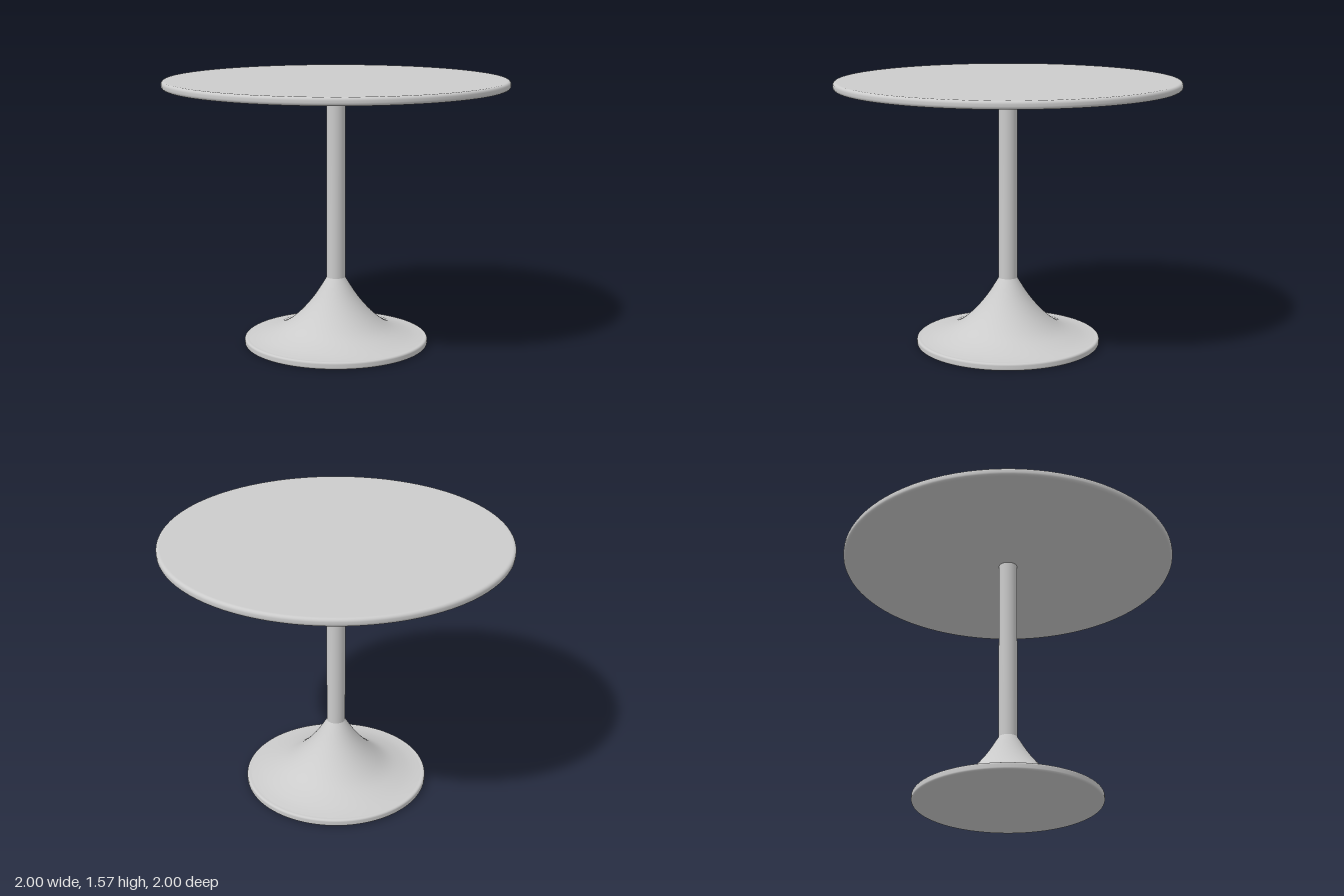
import * as THREE from 'three';

const SEGMENTS = 96;
const material = new THREE.MeshStandardMaterial({ color: 0xcccccc });

// Surface of revolution from [radius, height] pairs, listed bottom to top
function turned(name, profile) {
  const points = profile.map(([r, y]) => new THREE.Vector2(r, y));
  const mesh = new THREE.Mesh(new THREE.LatheGeometry(points, SEGMENTS), material);
  mesh.name = name;
  return mesh;
}

// Solid disc with rounded rims; the extra rings keep the flat faces evenly shaded
function roundedDisc(name, radius, bottom, top, fillet) {
  const steps = 5;
  const inner = radius - fillet;
  const profile = [[0, bottom], [inner - 0.005, bottom]];
  for (const [centerY, start] of [[bottom + fillet, -Math.PI / 2], [top - fillet, 0]]) {
    for (let i = 0; i <= steps; i++) {
      const a = start + (i / steps) * (Math.PI / 2);
      profile.push([inner + fillet * Math.cos(a), centerY + fillet * Math.sin(a)]);
    }
  }
  profile.push([inner - 0.005, top], [0, top]);
  return turned(name, profile);
}

export function createModel() {
  const table = new THREE.Group();
  table.name = 'pedestalTable';

  // Round top and foot plate
  table.add(roundedDisc('tableTop', 1, 1.526, 1.572, 0.018));
  table.add(roundedDisc('footPlate', 0.543, 0, 0.042, 0.012));

  // Straight column
  const column = new THREE.Mesh(new THREE.CylinderGeometry(0.055, 0.055, 1.15, 48), material);
  column.name = 'column';
  column.position.y = 0.39 + 1.15 / 2;
  table.add(column);

  // Trumpet-shaped flare between the foot plate and the column
  const flare = new THREE.SplineCurve([
    [0.535, 0.04], [0.44, 0.055], [0.32, 0.1], [0.22, 0.178], [0.13, 0.282], [0.055, 0.4],
  ].map(([r, y]) => new THREE.Vector2(r, y)));
  table.add(turned('flaredBase', flare.getPoints(20).map((p) => [p.x, p.y])));

  return table;
}
